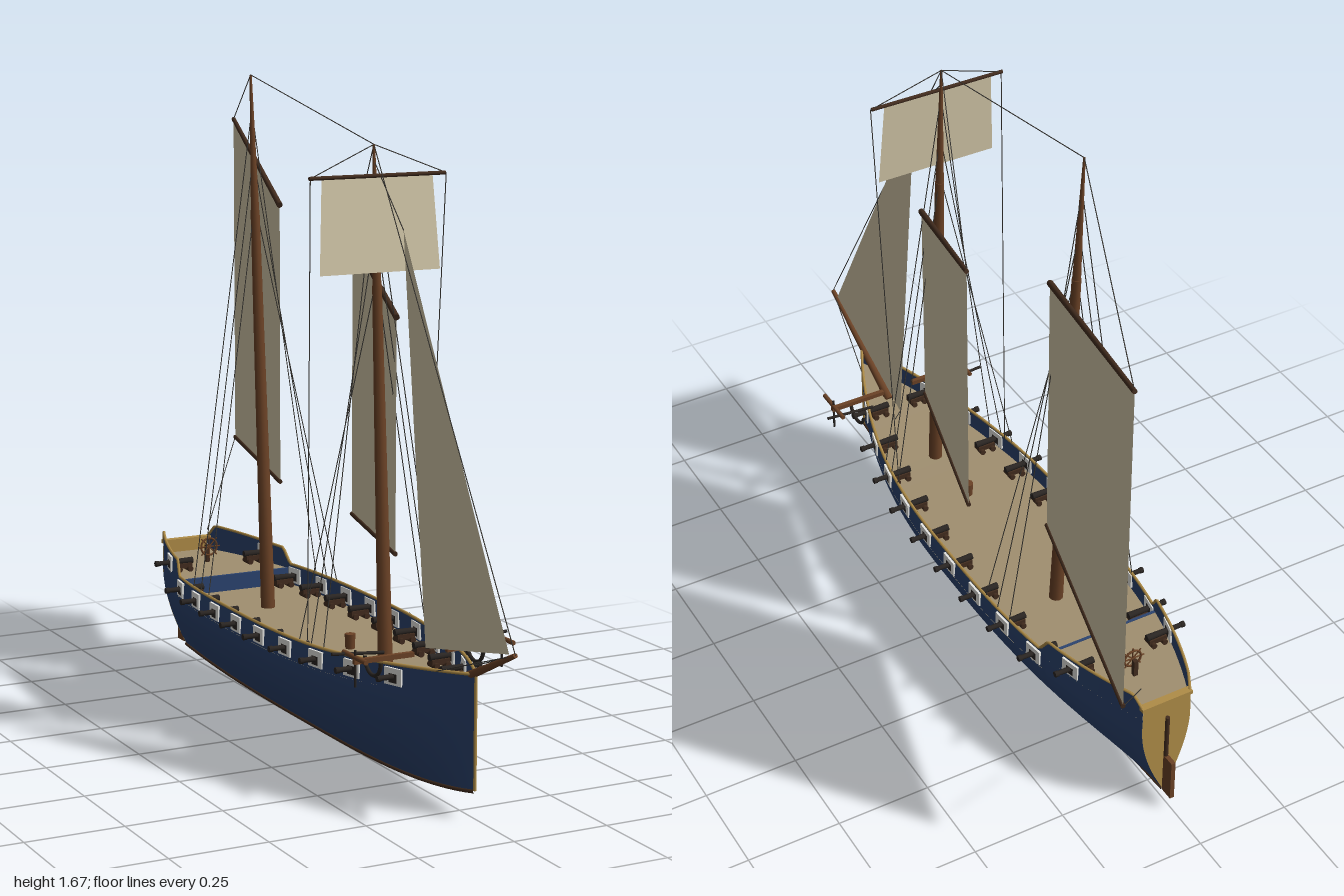
import * as THREE from 'three';

const mat = (name, color, side = THREE.FrontSide) => {
  const m = new THREE.MeshStandardMaterial({ color, side });
  m.name = name;
  return m;
};
const V = (x, y, z) => new THREE.Vector3(x, y, z);

// Hull lines: half width, keel height, rail height and deck height along z
const STERN = -0.82, BOW = 0.82;
const beam = z => z > 0 ? 0.197 * (1 - (z / BOW) ** 2.2) : 0.197 - 0.127 * (-z / BOW) ** 3;
const keelY = z => z > 0 ? 0.008 + 0.062 * (z / BOW) ** 3 : 0.008 + 0.027 * (-z / BOW) ** 3;
const sheer = z => {
  if (z > -0.485) return 0.32 + 0.03 * Math.max(0, (z - 0.3) / 0.52) ** 1.5;
  if (z > -0.515) return 0.32 + 0.04 * (-z - 0.485) / 0.03;
  if (z > -0.79) return 0.36 + 0.015 * (-z - 0.515) / 0.275;
  return 0.375 - 0.035 * (-z - 0.79) / 0.03;
};
const deckY = z => z > -0.5 ? sheer(Math.max(z, -0.48)) - 0.058 : 0.305;
const halfWidth = (z, y) => {
  const t = Math.max(0, (y - keelY(z)) / (0.27 - keelY(z)));
  return beam(z) * (t < 1 ? 1 - (1 - t) ** 1.8 : 1 - 0.1 * (t - 1));
};

export function createModel() {
  const ship = new THREE.Group();
  ship.name = 'sailingShip';
  const hullBlue = mat('hullBlue', 0x2c4470, THREE.DoubleSide);
  const deckWood = mat('deckWood', 0xa08f70, THREE.DoubleSide);
  const mastWood = mat('mastWood', 0x6b4226);
  const darkWood = mat('darkWood', 0x422c1e);
  const trim = mat('ochreTrim', 0xb08d48, THREE.DoubleSide);
  const sailCloth = mat('sailCloth', 0xd6caab, THREE.DoubleSide);
  const iron = mat('iron', 0x2a2522);
  const portWhite = mat('portWhite', 0xf6f6f2);
  const rope = mat('rope', 0x3a3834);

  const add = (name, geo, material, parent = ship) => {
    const m = new THREE.Mesh(geo, material);
    m.name = name;
    parent.add(m);
    return m;
  };
  const group = name => {
    const g = new THREE.Group();
    g.name = name;
    ship.add(g);
    return g;
  };
  // Tapered round bar from a to b
  const rod = (name, a, b, ra, rb, material, parent = ship, sides = 10) => {
    const m = add(name, new THREE.CylinderGeometry(rb, ra, a.distanceTo(b), sides), material, parent);
    m.position.copy(a).lerp(b, 0.5);
    m.quaternion.setFromUnitVectors(V(0, 1, 0), b.clone().sub(a).normalize());
    return m;
  };
  const box = (name, w, h, d, x, y, z, material, parent = ship) => {
    const m = add(name, new THREE.BoxGeometry(w, h, d), material, parent);
    m.position.set(x, y, z);
    return m;
  };
  // Grid surface from a function of column and row
  const grid = (cols, rows, point, flip) => {
    const pos = [], idx = [];
    for (let i = 0; i < cols; i++) for (let j = 0; j < rows; j++) pos.push(...point(i, j).toArray());
    for (let i = 0; i < cols - 1; i++) for (let j = 0; j < rows - 1; j++) {
      const a = i * rows + j, b = a + rows;
      if (flip) idx.push(a, a + 1, b, b, a + 1, b + 1);
      else idx.push(a, b, a + 1, b, b + 1, a + 1);
    }
    const g = new THREE.BufferGeometry();
    g.setAttribute('position', new THREE.Float32BufferAttribute(pos, 3));
    g.setIndex(idx);
    g.computeVertexNormals();
    return g;
  };

  // Hull sides with the rail along the top
  const stations = [-0.79, -0.515, -0.485];
  for (let i = 0; i <= 48; i++) stations.push(STERN + (BOW - STERN) * i / 48);
  stations.sort((a, b) => a - b);
  const rows = 18;
  for (const s of [1, -1]) {
    add(s > 0 ? 'hullLeft' : 'hullRight', grid(stations.length, rows, (i, j) => {
      const z = stations[i], k = keelY(z);
      const y = k + (sheer(z) - k) * (j / (rows - 1)) ** 1.3;
      return V(s * halfWidth(z, y), y, z);
    }, s > 0), hullBlue);
    const railPath = new THREE.CatmullRomCurve3(stations.map(z => V(s * halfWidth(z, sheer(z)), sheer(z), z)));
    add('rail', new THREE.TubeGeometry(railPath, 120, 0.004, 6), trim);
  }

  // Decks, the step between them, and the transom
  const deckPart = (name, z0, z1) => add(name, grid(25, 2, (i, j) => {
    const z = z0 + (z1 - z0) * i / 24, y = deckY(z);
    return V((j ? 1 : -1) * halfWidth(z, y), y, z);
  }, true), deckWood);
  deckPart('mainDeck', -0.4999, BOW);
  deckPart('quarterDeck', STERN, -0.5);
  box('deckStep', 0.33, 0.047, 0.008, 0, 0.283, -0.5, hullBlue);

  const half = [];
  for (let j = 0; j <= 14; j++) {
    const y = keelY(STERN) + (0.34 - keelY(STERN)) * j / 14;
    half.push(new THREE.Vector2(halfWidth(STERN, y), y));
  }
  const outline = [...half, ...half.slice(1).reverse().map(p => new THREE.Vector2(-p.x, p.y))];
  add('transom', new THREE.ShapeGeometry(new THREE.Shape(outline)), trim).position.z = STERN - 0.002;
  box('sternRail', 0.145, 0.01, 0.02, 0, 0.34, STERN + 0.004, trim);

  // Stem and keel strip, rudder
  const keelPts = stations.map(z => V(0, keelY(z) - 0.002, z));
  add('keel', new THREE.TubeGeometry(new THREE.CatmullRomCurve3(keelPts), 60, 0.005, 6), darkWood);
  rod('stem', V(0, keelY(BOW), BOW), V(0, 0.352, BOW), 0.004, 0.004, trim);
  box('rudder', 0.012, 0.12, 0.038, 0, 0.1, -0.845, mastWood);
  rod('rudderPost', V(0, 0.04, -0.828), V(0, 0.29, -0.828), 0.006, 0.006, darkWood);

  // Ten guns on each side, with white ports
  for (const s of [1, -1]) for (let i = 0; i < 10; i++) {
    const z = -0.6 + i * 0.1333;
    const y = deckY(z) + 0.028;
    const w = halfWidth(z, y);
    const slope = Math.atan2(halfWidth(z - 0.02, y) - halfWidth(z + 0.02, y), 0.04);
    const gun = group('gun');
    const port = box('gunPort', 0.009, 0.042, 0.054, s * w, y, z, portWhite, gun);
    port.rotation.y = -s * slope;
    const hole = box('portOpening', 0.0105, 0.022, 0.024, s * w, y - 0.004, z, iron, gun);
    hole.rotation.y = -s * slope;
    rod('barrel', V(s * (w - 0.065), y, z), V(s * (w + 0.045), y, z), 0.009, 0.006, iron, gun);
    rod('muzzle', V(s * (w + 0.036), y, z), V(s * (w + 0.046), y, z), 0.008, 0.008, iron, gun);
    box('carriage', 0.05, 0.014, 0.022, s * (w - 0.036), y - 0.012, z, darkWood, gun);
    for (const dx of [-0.016, 0.016])
      rod('wheels', V(s * (w - 0.036) + dx, y - 0.02, z - 0.019), V(s * (w - 0.036) + dx, y - 0.02, z + 0.019), 0.008, 0.008, darkWood, gun);
  }

  // Masts and bowsprit
  const foreTop = V(0, 1.54, 0.308), mainTop = V(0, 1.672, -0.378), spritTip = V(0, 0.438, 0.995);
  const foreAt = y => V(0, y, 0.308 + 0.07 * (1.54 - y) / 1.28);
  const mainAt = y => V(0, y, -0.378 + 0.094 * (1.672 - y) / 1.41);
  for (const [name, at, top, mid] of [['foreMast', foreAt, 1.54, 1.2], ['mainMast', mainAt, 1.672, 1.32]]) {
    rod(name, at(0.25), at(mid), 0.019, 0.012, mastWood);
    rod(name + 'Top', at(mid), at(top), 0.011, 0.003, mastWood);
  }
  rod('bowsprit', V(0, 0.275, 0.65), spritTip, 0.014, 0.006, mastWood);

  // Sails, each given by its corners
  const sail = (name, a, b, c, d) => add(name, grid(2, 2, (i, j) => [[a, b], [d, c]][i][j]), sailCloth);
  const foreSail = [V(0.05, 0.53, 0.335), V(0.05, 1.12, 0.335), V(0.172, 1.262, -0.13), V(0.172, 0.53, -0.13)];
  const mainSail = [V(0.07, 0.585, -0.35), V(0.07, 1.33, -0.35), V(0.24, 1.51, -0.995), V(0.24, 0.585, -0.995)];
  for (const [name, c] of [['fore', foreSail], ['main', mainSail]]) {
    sail(name + 'Sail', ...c);
    rod(name + 'Gaff', c[1], c[2], 0.008, 0.006, darkWood);
    rod(name + 'Boom', c[0], c[3], 0.006, 0.006, darkWood);
  }
  sail('topSail', V(-0.168, 1.235, 0.352), V(-0.155, 1.465, 0.335), V(0.147, 1.465, 0.335), V(0.16, 1.235, 0.352));
  rod('topYard', V(-0.188, 1.467, 0.335), V(0.182, 1.467, 0.335), 0.005, 0.005, darkWood);
  const jib = new THREE.BufferGeometry().setFromPoints([V(0, 0.434, 0.967), V(0.035, 0.337, 0.517), V(0.012, 1.345, 0.437)]);
  jib.computeVertexNormals();
  add('jib', jib, sailCloth);

  // Stays, sheets and shrouds
  const rigging = group('rigging');
  const line = (a, b) => rod('line', a, b, 0.0013, 0.0013, rope, rigging, 5);
  line(mainTop, foreTop);
  line(foreTop, spritTip);
  line(foreTop, foreSail[2]);
  line(mainTop, mainSail[2]);
  line(mainSail[3], V(0.05, 0.37, -0.78));
  line(V(0.012, 1.345, 0.437), foreAt(1.5));
  line(V(0.035, 0.337, 0.517), V(0.06, 0.33, 0.5));
  for (const s of [1, -1]) {
    line(V(s * 0.185, 1.467, 0.335), V(s * 0.165, 0.325, 0.28));
    line(V(s * 0.185, 1.467, 0.335), foreAt(1.54));
    line(spritTip, V(s * 0.05, 0.34, 0.72));
    for (let k = 0; k < 3; k++) {
      const zf = 0.26 + k * 0.05, zm = -0.25 - k * 0.055;
      line(foreAt(1.22 + k * 0.12), V(s * halfWidth(zf, 0.32), 0.32, zf));
      line(mainAt(1.34 + k * 0.12), V(s * halfWidth(zm, 0.32), 0.32, zm));
    }
  }

  // Catheads and anchors at the bow
  for (const s of [1, -1]) {
    const anchor = group('anchor');
    box('cathead', 0.16, 0.012, 0.012, s * 0.125, 0.352, 0.6, mastWood, anchor);
    rod('anchorStock', V(s * 0.2, 0.362, 0.54), V(s * 0.2, 0.362, 0.655), 0.006, 0.006, mastWood, anchor);
    rod('anchorShank', V(s * 0.24, 0.364, 0.555), V(s * 0.1, 0.352, 0.555), 0.004, 0.004, iron, anchor);
    rod('anchorCable', V(s * 0.2, 0.38, 0.6), V(s * 0.2, 0.29, 0.6), 0.003, 0.003, iron, anchor);
    const arms = add('anchorArms', new THREE.TorusGeometry(0.04, 0.005, 6, 14, Math.PI), iron, anchor);
    arms.position.set(s * 0.14, 0.345, 0.575);
    arms.rotation.set(Math.PI, Math.PI / 2, 0);
  }

  // Steering wheel and capstan
  const helm = group('steeringWheel');
  const wheelPos = V(0, 0.35, -0.66);
  add('wheelRim', new THREE.TorusGeometry(0.024, 0.003, 6, 20), mastWood, helm).position.copy(wheelPos);
  for (let k = 0; k < 4; k++) {
    const d = V(Math.cos(k * Math.PI / 4), Math.sin(k * Math.PI / 4), 0).multiplyScalar(0.033);
    rod('spoke', wheelPos.clone().sub(d), wheelPos.clone().add(d), 0.002, 0.002, mastWood, helm, 6);
  }
  box('wheelStand', 0.012, 0.05, 0.012, 0, 0.328, -0.672, darkWood, helm);
  rod('capstan', V(0, 0.26, 0.19), V(0, 0.3, 0.19), 0.012, 0.014, mastWood);

  return ship;
}
